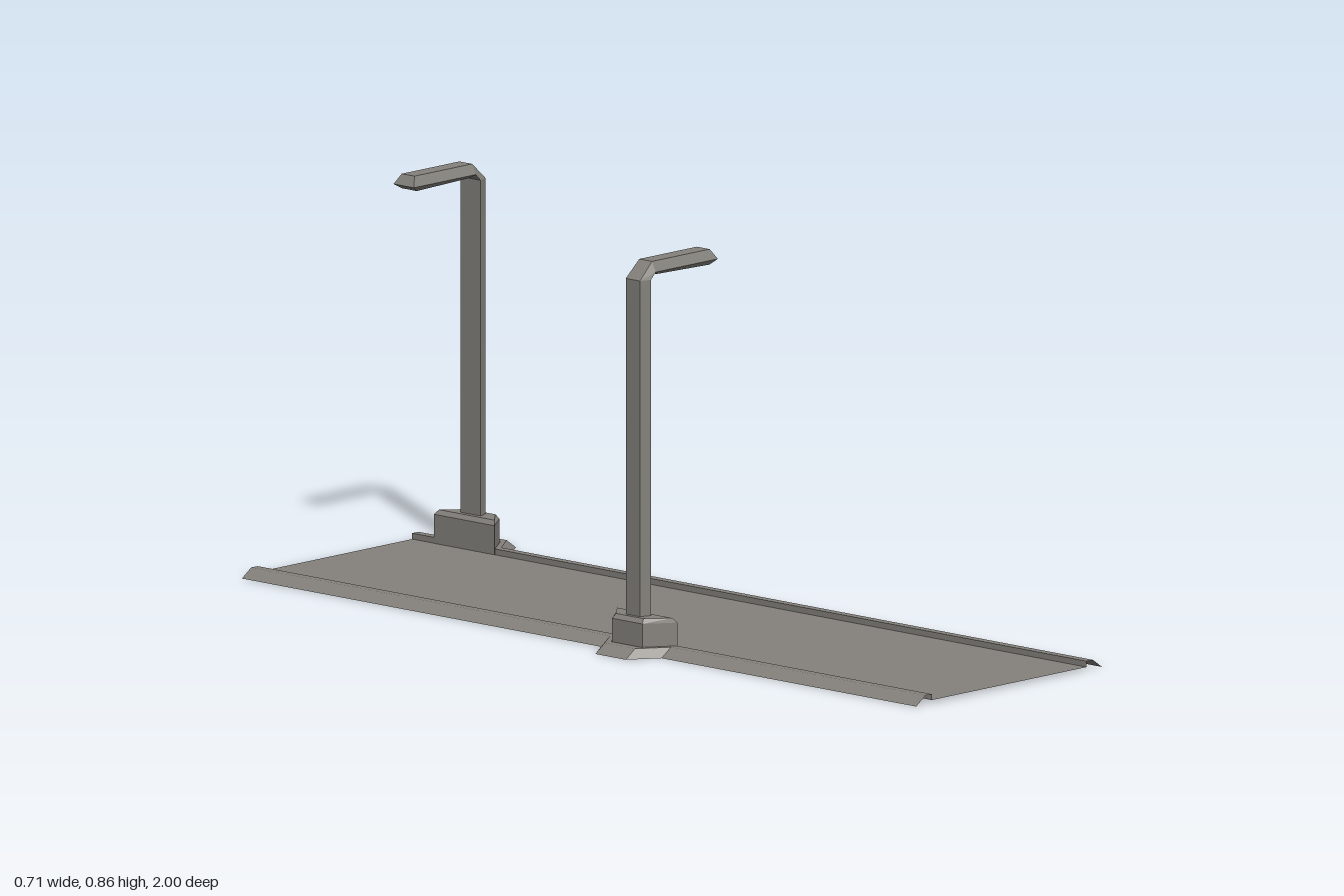
import * as THREE from 'three';

const concrete = new THREE.MeshStandardMaterial({ color: 0x85827c, flatShading: true, side: THREE.DoubleSide });
concrete.name = 'concreteGrey';

// Skin a list of cross-sections; closed ones wrap around and get end caps
function loft(name, sections, closed = true) {
  const pos = [];
  const tri = (a, b, c) => pos.push(...a, ...b, ...c);
  const n = sections[0].length;
  for (let i = 0; i < sections.length - 1; i++) {
    const s = sections[i], t = sections[i + 1];
    for (let j = 0; j < (closed ? n : n - 1); j++) {
      const k = (j + 1) % n;
      tri(s[j], s[k], t[k]);
      tri(s[j], t[k], t[j]);
    }
  }
  if (closed) {
    const first = sections[0], last = sections[sections.length - 1];
    for (let j = 1; j < n - 1; j++) {
      tri(first[0], first[j + 1], first[j]);
      tri(last[0], last[j], last[j + 1]);
    }
  }
  const geo = new THREE.BufferGeometry();
  geo.setAttribute('position', new THREE.Float32BufferAttribute(pos, 3));
  geo.computeVertexNormals();
  const mesh = new THREE.Mesh(geo, concrete);
  mesh.name = name;
  return mesh;
}

// Four-sided section from two x/y points with half-widths in z
const quad = (xi, yi, wi, xo, yo, wo) => [[xi, yi, wi], [xo, yo, wo], [xo, yo, -wo], [xi, yi, -wi]];

// Half of the road with its kerb, which steps outward around the lamp base at z = c
function roadHalf(c) {
  const group = new THREE.Group();
  group.name = 'roadHalf';
  const outline = [[-1, 0], [c - 0.09, 0], [c - 0.045, 0.065], [c + 0.045, 0.065], [c + 0.09, 0], [1, 0]];
  group.add(loft('deck', outline.map(([z, b]) => [[0.243 + b, 0.007, z], [0, 0.007, z]]), false));
  group.add(loft('kerb', outline.map(([z, b]) => [
    [0.292 + b, 0, z], [0.263 + b, 0.02, z], [0.243 + b, 0.02, z], [0.243 + b, 0.007, z],
  ]), false));
  return group;
}

function streetLamp(c) {
  const group = new THREE.Group();
  group.name = 'streetLamp';
  // Plinth with a bevelled top
  const ring = (y, inset) => quad(0.242 + inset, y, 0.09 - inset, 0.305 - inset, y, 0.045 - inset * 0.5);
  group.add(loft('lampBase', [ring(0.007, 0), ring(0.071, 0), ring(0.081, 0.008)]));
  // Post bending over into the arm
  group.add(loft('postAndArm', [
    quad(0.262, 0.075, 0.03, 0.287, 0.075, 0.021),
    quad(0.262, 0.82, 0.03, 0.287, 0.82, 0.021),
    quad(0.247, 0.835, 0.03, 0.247, 0.857, 0.019),
    quad(0.052, 0.835, 0.03, 0.066, 0.857, 0.019),
  ]));
  // Shallow light housing under the arm
  group.add(loft('lampHead', [
    quad(0.07, 0.824, 0.022, 0.236, 0.828, 0.022),
    quad(0.052, 0.835, 0.03, 0.247, 0.835, 0.03),
  ]));
  group.position.z = c;
  return group;
}

export function createModel() {
  const model = new THREE.Group();
  model.name = 'roadSection';
  // The second side is the first turned half way round, with its lamp further along
  [['leftSide', -0.845, 0], ['rightSide', -0.155, Math.PI]].forEach(([name, c, turn]) => {
    const side = new THREE.Group();
    side.name = name;
    side.add(roadHalf(c), streetLamp(c));
    side.rotation.y = turn;
    model.add(side);
  });
  return model;
}
